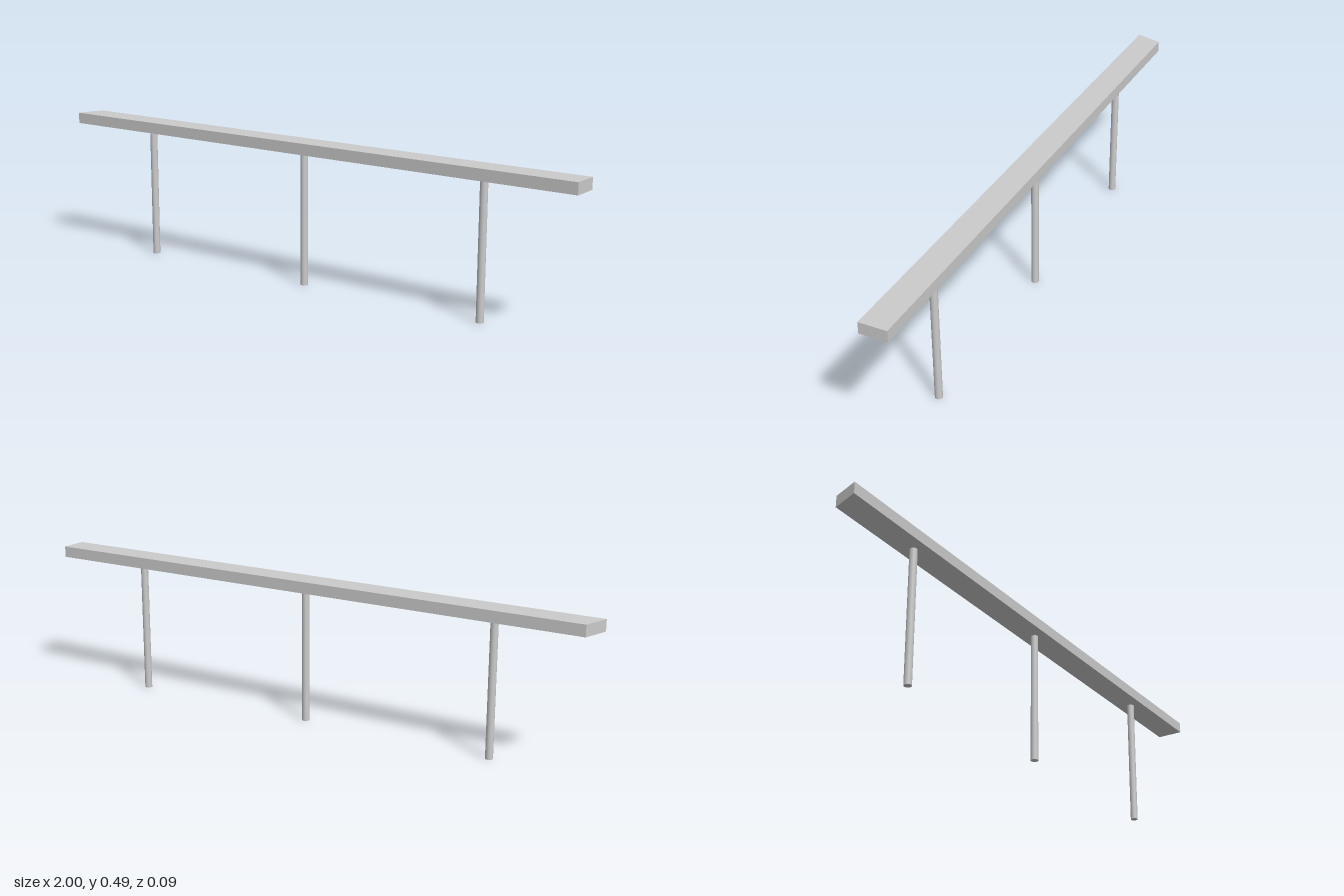
import * as THREE from 'three';

export function createModel() {
  const group = new THREE.Group();
  const material = new THREE.MeshStandardMaterial({ color: 0xcccccc });
  const boardBottom = 0.45, boardTop = 0.488;

  // Long board with one mitred end, drawn in plan as (x, -z)
  const plan = new THREE.Shape([
    [-1, -0.046], [1, -0.046], [1, 0.046], [-0.972, 0.044],
  ].map(([x, y]) => new THREE.Vector2(x, y)));
  const boardGeometry = new THREE.ExtrudeGeometry(plan, {
    depth: boardTop - boardBottom, bevelEnabled: false,
  });
  boardGeometry.rotateX(-Math.PI / 2);
  const board = new THREE.Mesh(boardGeometry, material);
  board.name = 'board';
  board.position.y = boardBottom;
  group.add(board);

  // Three slim round posts under the board
  const postGeometry = new THREE.CylinderGeometry(0.0125, 0.0125, boardBottom, 16);
  [[-0.668, 'rightPost'], [0.004, 'middlePost'], [0.675, 'leftPost']].forEach(([x, name]) => {
    const post = new THREE.Mesh(postGeometry, material);
    post.name = name;
    post.position.set(x, boardBottom / 2, 0.0015);
    group.add(post);
  });

  return group;
}
